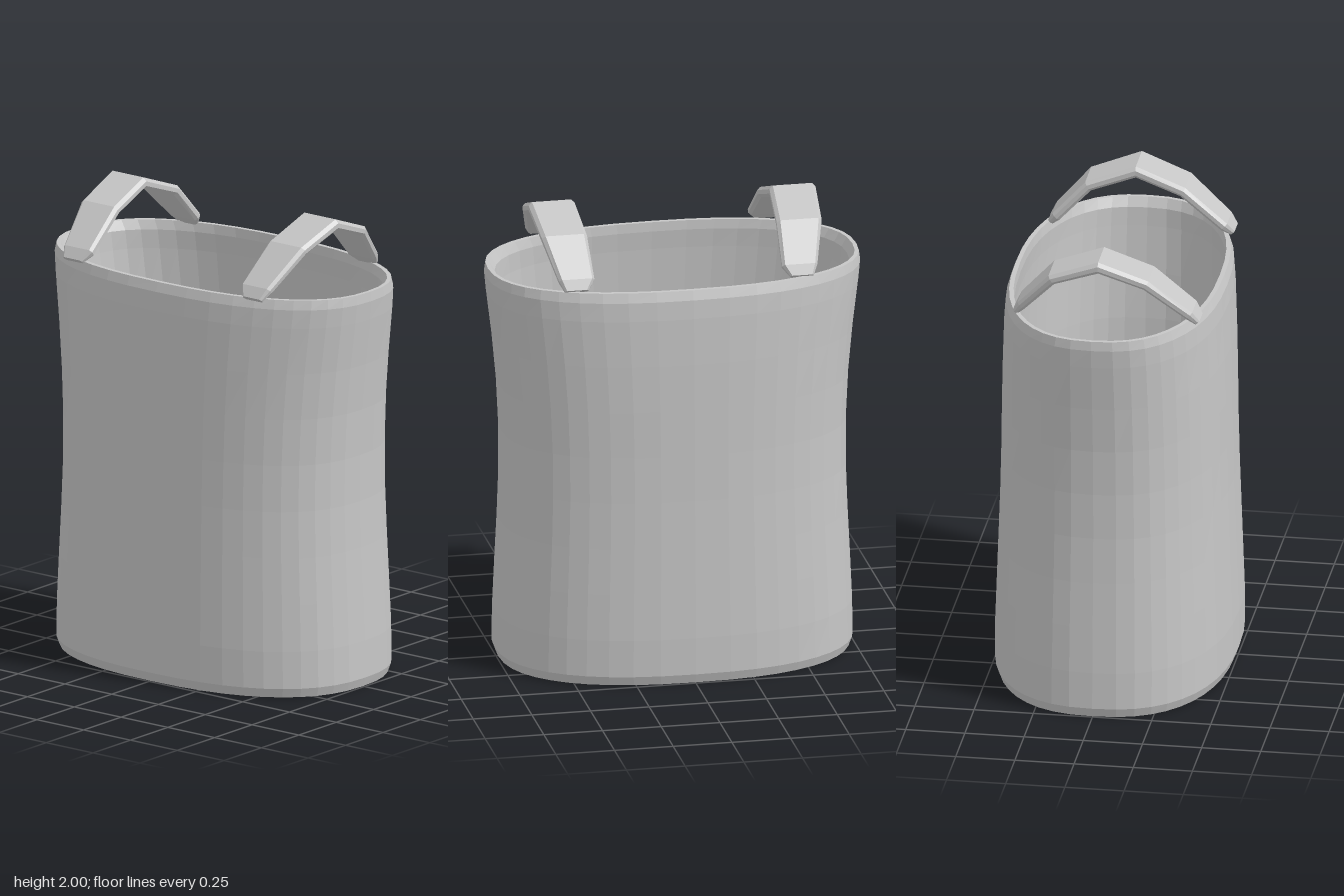
import * as THREE from 'three';

const fabric = new THREE.MeshStandardMaterial({ color: 0xc6c6c6 });
fabric.name = 'greyFabric';

// Skins a list of closed rings; flat facets, optional end caps
function loft(rings, capped) {
  const n = rings[0].length;
  const index = [];
  for (let r = 0; r < rings.length - 1; r++) {
    for (let i = 0; i < n; i++) {
      const j = (i + 1) % n;
      const a = r * n + i, b = r * n + j, c = a + n, d = b + n;
      index.push(a, c, b, b, c, d);
    }
  }
  if (capped) {
    const last = (rings.length - 1) * n;
    for (let i = 1; i < n - 1; i++) {
      index.push(0, i, i + 1);
      index.push(last, last + i + 1, last + i);
    }
  }
  const indexed = new THREE.BufferGeometry();
  indexed.setAttribute('position', new THREE.Float32BufferAttribute(rings.flat(2), 3));
  indexed.setIndex(index);
  const geometry = indexed.toNonIndexed();
  geometry.computeVertexNormals();
  return geometry;
}

// Rounded oval ring with half width a and half depth b
function ovalRing(y, a, b, segments = 44) {
  const ring = [];
  const soft = (v) => Math.sign(v) * Math.pow(Math.abs(v), 2 / 2.4);
  for (let i = 0; i < segments; i++) {
    const t = (i / segments) * Math.PI * 2;
    ring.push([a * soft(Math.cos(t)), y, b * soft(Math.sin(t))]);
  }
  return ring;
}

// Hollow body: up the outside, over the rim, down the inside
function createBody() {
  const outer = [
    [0, 0.742, 0.49], [0.04, 0.756, 0.504], [0.2, 0.753, 0.504],
    [0.4, 0.744, 0.497], [0.6, 0.734, 0.49], [0.8, 0.727, 0.483],
    [1.0, 0.728, 0.478], [1.2, 0.738, 0.475], [1.4, 0.757, 0.47],
    [1.6, 0.782, 0.462], [1.68, 0.79, 0.455], [1.72, 0.785, 0.441],
  ];
  const inner = [[1.72, 0.768, 0.422]];
  for (const [y, a, b] of outer.slice(2, -1).reverse()) {
    inner.push([y, a - 0.045, b - 0.036]);
  }
  inner.push([0.04, 0.73, 0.478], [0, 0.736, 0.484]);
  const profile = [...outer, ...inner, outer[0]];
  return new THREE.Mesh(loft(profile.map((p) => ovalRing(...p))), fabric);
}

// Arched strap with a flat, bevelled section that narrows at its ends
function createStrap(side) {
  // z, y, centre x, half width, half thickness
  const stations = [
    [0.408, 1.722, 0.48, 0.05, 0.012],
    [0.375, 1.758, 0.475, 0.075, 0.02],
    [0.2, 1.902, 0.5, 0.096, 0.022],
    [0, 1.975, 0.513, 0.098, 0.025],
    [-0.2, 1.902, 0.5, 0.096, 0.022],
    [-0.335, 1.758, 0.475, 0.075, 0.02],
    [-0.362, 1.722, 0.48, 0.05, 0.012],
  ];
  const section = [
    [1, -0.4], [1, 0.4], [0.85, 1], [-0.85, 1],
    [-1, 0.4], [-1, -0.4], [-0.85, -1], [0.85, -1],
  ];
  const rings = stations.map(([z, y, cx, w, h], i) => {
    const before = stations[Math.max(i - 1, 0)];
    const after = stations[Math.min(i + 1, stations.length - 1)];
    const dz = after[0] - before[0], dy = after[1] - before[1];
    const len = Math.hypot(dz, dy);
    return section.map(([u, v]) => [
      side * cx + u * w,
      y - (v * h * dz) / len,
      z + (v * h * dy) / len,
    ]);
  });
  return new THREE.Mesh(loft(rings, true), fabric);
}

export function createModel() {
  const model = new THREE.Group();
  model.name = 'strappedTop';

  const body = createBody();
  body.name = 'body';
  model.add(body);

  for (const [name, side] of [['leftStrap', 1], ['rightStrap', -1]]) {
    const strap = createStrap(side);
    strap.name = name;
    model.add(strap);
  }
  return model;
}
